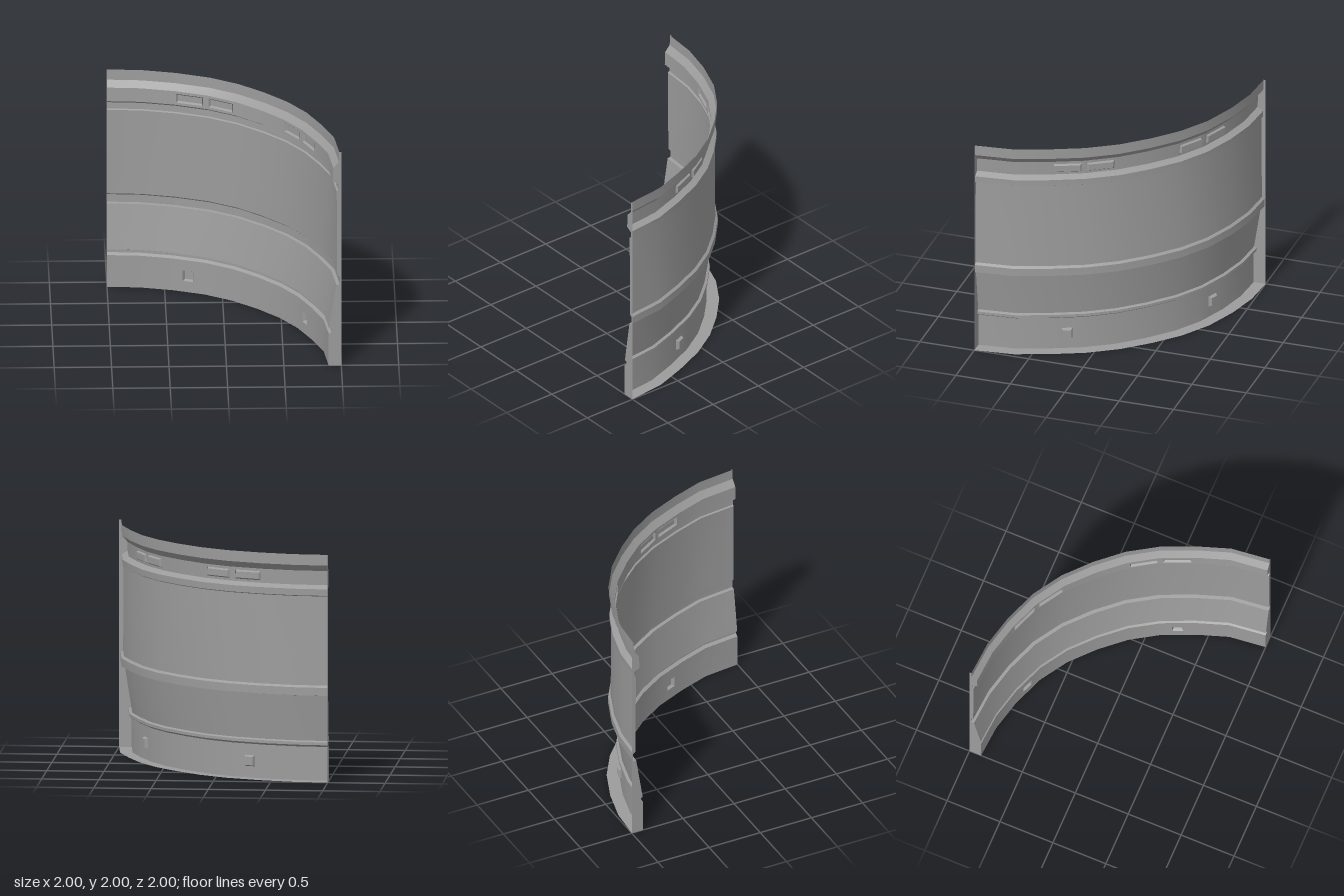
import * as THREE from 'three';
import { toCreasedNormals } from 'three/addons/utils/BufferGeometryUtils.js';

const OUTER = 2;
const rad = THREE.MathUtils.degToRad;

// Plan of the quarter turn: facet corners as angle in degrees and radius scale
const ANGLES = [0, 10.1, 18.9, 28.3, 37.2, 45.9, 54.7, 63.3, 72.4, 81.2, 90];
const SCALES = [1, 0.996, 0.984, 0.985, 0.987, 0.988, 0.996, 1, 0.998, 1, 1];

// Wall profile as [radius, height], top to bottom
const PROFILE = [
  [1.982, 2], [1.98, 1.905], [1.93, 1.85], [1.925, 1.725], [1.977, 1.695],
  [1.975, 1.638], [1.96, 1.63], [1.965, 0.847], [1.987, 0.83], [1.987, 0.76],
  [1.957, 0.755], [1.893, 0.35], [1.917, 0.34], [1.917, 0.315], [1.89, 0.297], [1.89, 0],
];
const NAMES = ['topLip', 'lipSlope', 'windowBand', 'upperRibTop', 'upperRib', 'upperRibBottom',
  'mainPanel', 'middleRibTop', 'middleRib', 'middleRibBottom', 'slopedPanel',
  'lowerRibTop', 'lowerRib', 'lowerRibBottom', 'basePanel'];

// Recesses per panel: angle range in degrees, height range, depth
const slot = (a0, a1) => ({ name: 'windowRecess', a0, a1, y0: 1.747, y1: 1.826, depth: 0.02 });
const socket = (a) => ({ name: 'socketRecess', a0: a - 1.5, a1: a + 1.5, y0: 0.1, y1: 0.197, depth: 0.028 });
const RECESSES = {
  windowBand: [slot(20.1, 27.6), slot(29, 36.4), slot(55.4, 62.7), slot(64.4, 71.8)],
  basePanel: [socket(23.8), socket(68.1)],
};

const material = new THREE.MeshStandardMaterial({ color: 0x9c9c9c, side: THREE.DoubleSide });

// Point on the faceted arc around the corner (-1, 1)
function arcPoint(r, deg, y) {
  const i = Math.max(1, ANGLES.findIndex((a) => a >= deg));
  const [a0, a1, s0, s1] = [ANGLES[i - 1], ANGLES[i], SCALES[i - 1], SCALES[i]];
  const k = r * s0 * s1 * Math.sin(rad(a1 - a0))
    / (s0 * Math.sin(rad(deg - a0)) + s1 * Math.sin(rad(a1 - deg)));
  return [k * Math.cos(rad(deg)) - 1, y, 1 - k * Math.sin(rad(deg))];
}

// Corners run around the face
function addQuad(out, a, b, c, d) {
  out.push(...a, ...b, ...c, ...a, ...c, ...d);
}

function makeMesh(name, positions) {
  const geometry = new THREE.BufferGeometry();
  geometry.setAttribute('position', new THREE.Float32BufferAttribute(positions, 3));
  const mesh = new THREE.Mesh(toCreasedNormals(geometry, rad(25)), material);
  mesh.name = name;
  return mesh;
}

const ascending = (list) => [...new Set(list)].sort((a, b) => a - b);

// One strip of the wall, left open where recesses sit
function makeStrip(name, [rTop, yTop], [rLow, yLow], holes) {
  const angles = ascending([...ANGLES, ...holes.flatMap((h) => [h.a0, h.a1])]);
  const rows = ascending([yLow, yTop, ...holes.flatMap((h) => [h.y0, h.y1])]);
  const radius = (y) => rLow + (rTop - rLow) * (y - yLow) / (yTop - yLow);
  const at = (a, y) => arcPoint(radius(y), a, y);
  const out = [];
  for (let i = 0; i < angles.length - 1; i++) {
    for (let j = 0; j < rows.length - 1; j++) {
      const [a, b, y, t] = [angles[i], angles[i + 1], rows[j], rows[j + 1]];
      const open = holes.some((h) => a >= h.a0 && b <= h.a1 && y >= h.y0 && t <= h.y1);
      if (!open) addQuad(out, at(b, y), at(a, y), at(a, t), at(b, t));
    }
  }
  return makeMesh(name, out);
}

// Recess pressed outwards, with four bevelled sides and a flat floor
function makeRecess(r, { name, a0, a1, y0, y1, depth }) {
  const inset = 0.012, turn = 0.4;
  const corners = (radius, da, dy) => [
    arcPoint(radius, a1 - da, y0 + dy), arcPoint(radius, a0 + da, y0 + dy),
    arcPoint(radius, a0 + da, y1 - dy), arcPoint(radius, a1 - da, y1 - dy),
  ];
  const rim = corners(r, 0, 0);
  const floor = corners(r + depth, turn, inset);
  const out = [];
  addQuad(out, ...floor);
  for (let i = 0; i < 4; i++) {
    const n = (i + 1) % 4;
    addQuad(out, rim[i], rim[n], floor[n], floor[i]);
  }
  return makeMesh(name, out);
}

export function createModel() {
  const model = new THREE.Group();
  model.name = 'curvedWallSegment';

  // Wall strips and their recesses
  NAMES.forEach((name, i) => {
    const holes = RECESSES[name] || [];
    model.add(makeStrip(name, PROFILE[i], PROFILE[i + 1], holes));
    holes.forEach((hole) => model.add(makeRecess(PROFILE[i + 1][0], hole)));
  });

  // Flat ring under the wall
  const ring = [];
  for (let i = 0; i < ANGLES.length - 1; i++) {
    const [a, b] = [ANGLES[i], ANGLES[i + 1]];
    addQuad(ring, arcPoint(1.89, a, 0), arcPoint(1.89, b, 0), arcPoint(OUTER, b, 0), arcPoint(OUTER, a, 0));
  }
  model.add(makeMesh('bottomRing', ring));

  // Flat plates closing both ends
  const outline = [...PROFILE, [OUTER, 0], [OUTER, 2]].map(([r, y]) => new THREE.Vector2(r, y));
  const plate = new THREE.ShapeGeometry(new THREE.Shape(outline));
  [0, Math.PI / 2].forEach((turn, i) => {
    const cap = new THREE.Mesh(plate, material);
    cap.name = i ? 'backEndPlate' : 'frontEndPlate';
    cap.position.set(-1, 0, 1);
    cap.rotation.y = turn;
    model.add(cap);
  });
  return model;
}
